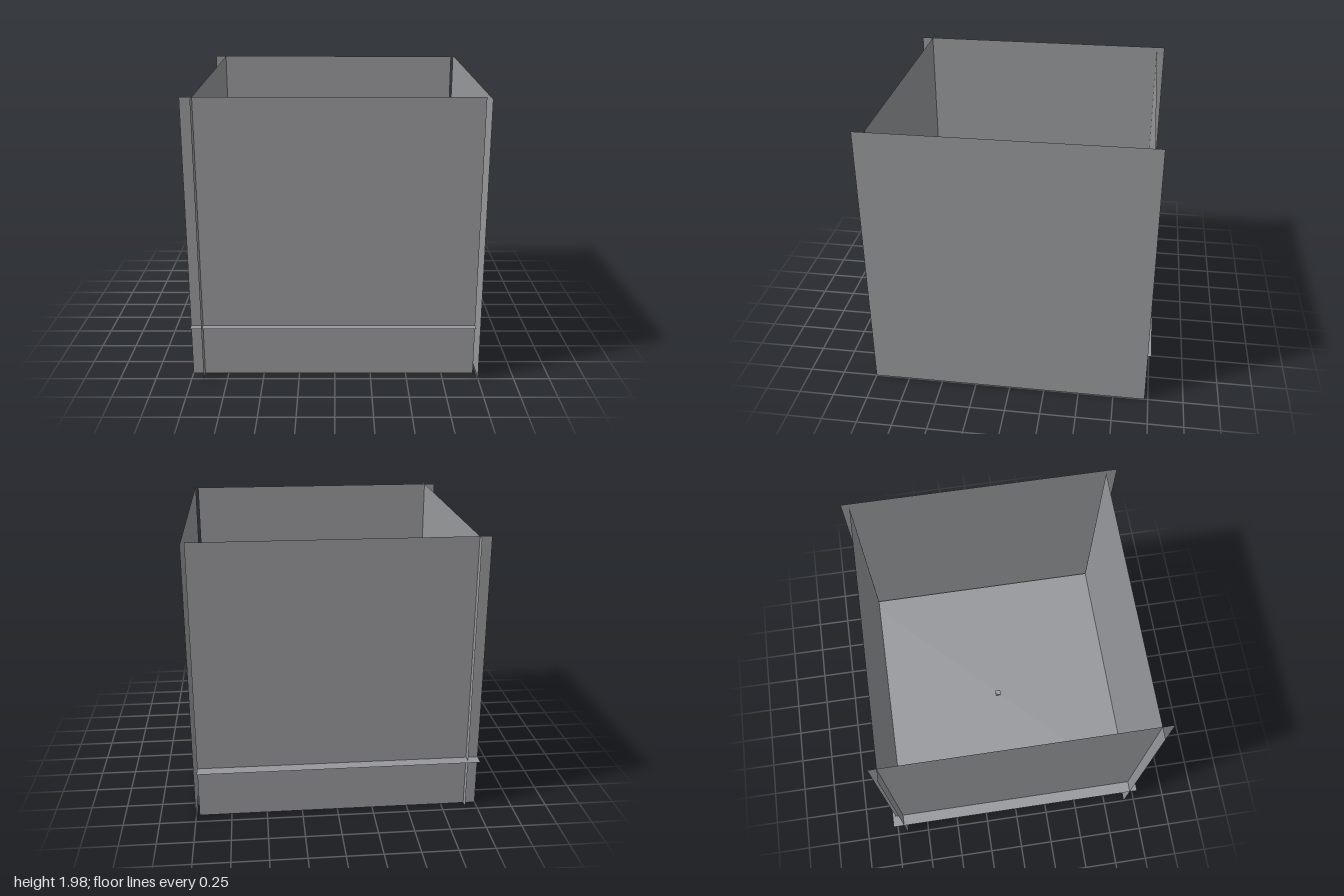
import * as THREE from 'three';

const SIZE = 1.976;   // edge length of every square panel
const SHIFT = 0.012;  // panels sit slightly off centre
const INSET = 0.917;  // distance of the crossing walls from the centre
const FLOOR_Y = 0.37;

export function createModel() {
  const model = new THREE.Group();
  model.name = 'openBox';

  const grey = new THREE.MeshStandardMaterial({ color: 0x97989b, side: THREE.DoubleSide });
  grey.name = 'grey';

  const panelGeometry = new THREE.PlaneGeometry(SIZE, SIZE);
  const addPanel = (name, position, rotation) => {
    const panel = new THREE.Mesh(panelGeometry, grey);
    panel.name = name;
    panel.position.set(...position);
    panel.rotation.set(...rotation);
    model.add(panel);
  };

  // Four upright walls, overlapping at the corners
  const midY = SIZE / 2;
  addPanel('frontWall', [-SHIFT, midY, INSET], [0, 0, 0]);
  addPanel('backWall', [-SHIFT, midY, -INSET], [0, Math.PI, 0]);
  addPanel('leftWall', [1, midY, SHIFT], [0, Math.PI / 2, 0]);
  addPanel('rightWall', [-INSET, midY, SHIFT], [0, -Math.PI / 2, 0]);

  // Raised floor, its rim poking through the walls
  addPanel('floor', [-SHIFT, FLOOR_Y, -SHIFT], [-Math.PI / 2, 0, 0]);

  // Tiny cube in the middle of the floor
  const stud = new THREE.Mesh(new THREE.BoxGeometry(0.04, 0.04, 0.04), grey);
  stud.name = 'floorStud';
  stud.position.set(-SHIFT, FLOOR_Y, -SHIFT);
  model.add(stud);

  return model;
}
